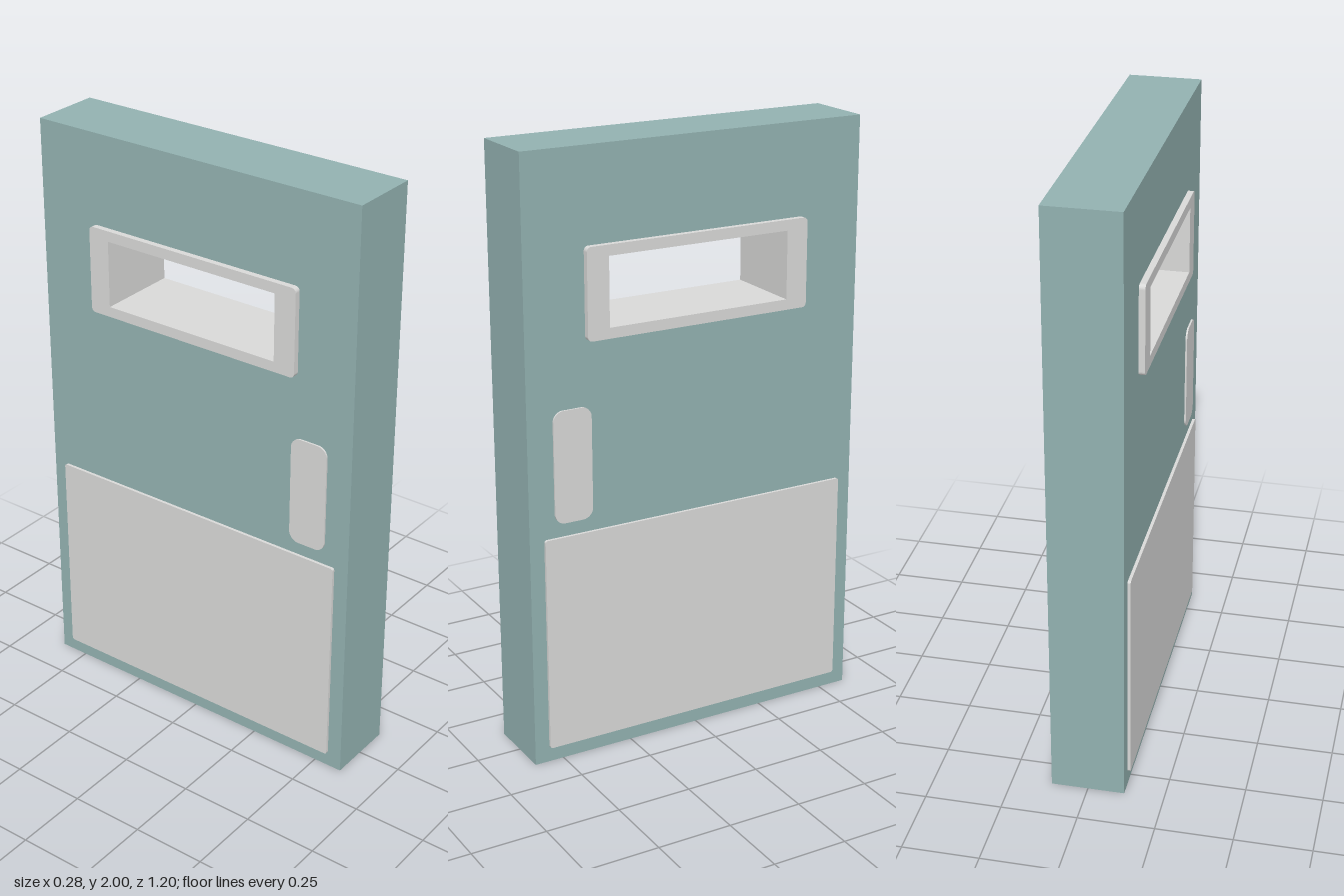
import * as THREE from 'three';

const mat = (name, color) => Object.assign(new THREE.MeshStandardMaterial({ color }), { name });

// Rounded rectangle outline in the door plane (z across, y up)
function outline(Type, z0, z1, y0, y1, r) {
  const s = new Type();
  s.moveTo(z0 + r, y0);
  s.lineTo(z1 - r, y0);
  if (r) s.absarc(z1 - r, y0 + r, r, -Math.PI / 2, 0);
  s.lineTo(z1, y1 - r);
  if (r) s.absarc(z1 - r, y1 - r, r, 0, Math.PI / 2);
  s.lineTo(z0 + r, y1);
  if (r) s.absarc(z0 + r, y1 - r, r, Math.PI / 2, Math.PI);
  s.lineTo(z0, y0 + r);
  if (r) s.absarc(z0 + r, y0 + r, r, Math.PI, Math.PI * 1.5);
  s.closePath();
  return s;
}

// Slab of the outline spanning x0..x1, with an optional hole
function slab(name, material, rect, x0, x1, hole) {
  const shape = outline(THREE.Shape, ...rect);
  if (hole) shape.holes.push(outline(THREE.Path, ...hole));
  const geo = new THREE.ExtrudeGeometry(shape, { depth: x1 - x0, bevelEnabled: false, curveSegments: 6 });
  geo.rotateY(-Math.PI / 2);
  geo.translate(x1, 0, 0);
  const mesh = new THREE.Mesh(geo, material);
  mesh.name = name;
  return mesh;
}

export function createModel() {
  const door = new THREE.Group();
  door.name = 'door';
  const teal = mat('teal paint', 0x92b1b0);
  const steel = mat('light steel', 0xd8d8d7);

  // Door leaf with an opening hidden behind the window frame
  door.add(slab('doorLeaf', teal, [-0.6, 0.6, 0, 2, 0], -0.12, 0.12, [-0.36, 0.36, 1.42, 1.675, 0]));

  // Window frame lining the opening on both faces
  door.add(slab('windowFrame', steel, [-0.395, 0.395, 1.4, 1.695, 0.015], -0.14, 0.14, [-0.32, 0.32, 1.435, 1.66, 0]));

  // Kick plates and push plates on both faces
  for (const [side, x0, sign] of [['left', 0.12, 1], ['right', -0.12, -1]]) {
    const span = (t) => (sign > 0 ? [x0, x0 + t] : [x0 - t, x0]);
    door.add(slab(side + 'KickPlate', steel, [-0.55, 0.55, 0.05, 0.775, 0.008], ...span(0.01)));
    door.add(slab(side + 'PushPlate', steel, [0.38, 0.512, 0.82, 1.19, 0.035], ...span(0.006)));
  }
  return door;
}
